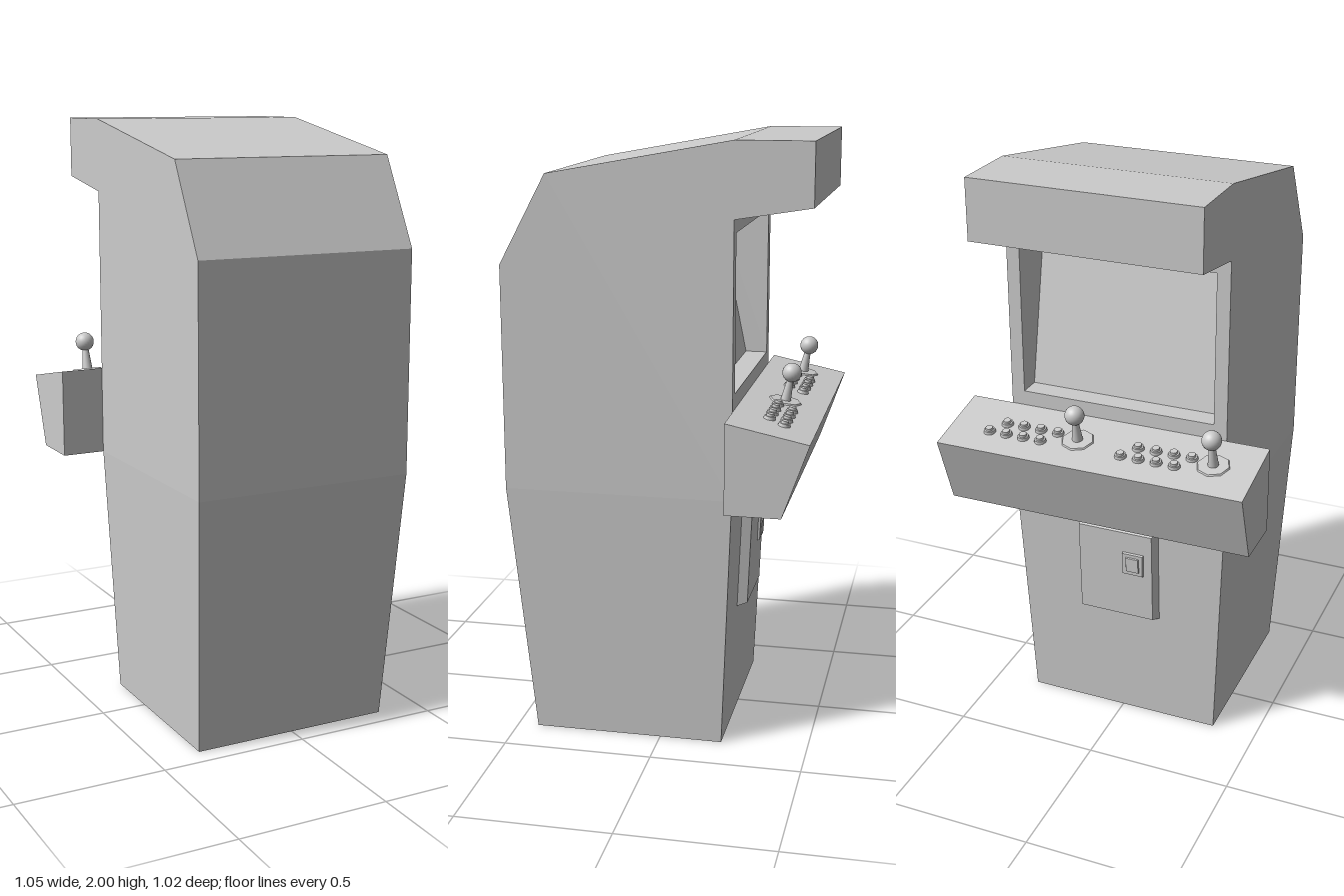
import * as THREE from 'three';

const mat = new THREE.MeshStandardMaterial({ color: 0xcccccc });
const V = (x, y, z) => new THREE.Vector3(x, y, z);

// Flat-shaded mesh from convex polygons (corners counter-clockwise from outside)
function polyMesh(name, polys) {
  const pos = [];
  for (const p of polys)
    for (let i = 1; i < p.length - 1; i++)
      for (const v of [p[0], p[i], p[i + 1]]) pos.push(v.x, v.y, v.z);
  const g = new THREE.BufferGeometry();
  g.setAttribute('position', new THREE.Float32BufferAttribute(pos, 3));
  g.computeVertexNormals();
  return add(name, g);
}

function add(name, geometry, x = 0, y = 0, z = 0) {
  const m = new THREE.Mesh(geometry, mat);
  m.name = name;
  m.position.set(x, y, z);
  return m;
}

// Quad spanning the width between two [z, y] profile points
const span = (a, b, width) => {
  const wa = width(a[1]), wb = width(b[1]);
  return [V(-wa, a[1], a[0]), V(wa, a[1], a[0]), V(wb, b[1], b[0]), V(-wb, b[1], b[0])];
};

// Matching flat caps on both sides for a convex [z, y] outline
const caps = (outline, width) => [
  outline.map(([z, y]) => V(-width(y), y, z)),
  outline.map(([z, y]) => V(width(y), y, z)).reverse(),
];

// Rectangle facing -z, and the strips joining two such rectangles
const rect = (w, y0, y1, z0, z1 = z0) =>
  [V(w, y0, z0), V(-w, y0, z0), V(-w, y1, z1), V(w, y1, z1)];
const strips = (a, b) => a.map((_, i) => {
  const j = (i + 1) % 4;
  return [a[i], a[j], b[j], b[i]];
});

// Raised plate with bevelled rim, facing -z
const plate = (name, w, h, depth, bevel) => {
  const back = rect(w, -h, h, 0), front = rect(w - bevel, bevel - h, h - bevel, -depth);
  return polyMesh(name, [...strips(back, front), front]);
};

function cabinet() {
  const g = new THREE.Group();
  g.name = 'cabinet';
  const width = y => 0.345 + 0.035 * Math.min(y / 0.86, 1);
  const p = [[0.43, 0], [0.51, 0.86], [0.51, 1.6], [0.355, 1.89], [-0.245, 2], [-0.49, 2],
    [-0.49, 1.8], [-0.245, 1.76], [-0.245, 0.86], [-0.21, 0]];
  const polys = [];
  p.forEach((a, i) => {
    if (i !== 7) polys.push(span(a, p[(i + 1) % p.length], width));
  });
  polys.push(...caps([p[0], p[1], p[8], p[9]], width));
  polys.push(...caps([p[1], p[2], p[3], p[4], p[7], p[8]], width));
  polys.push(...caps([p[4], p[5], p[6], p[7]], width));

  // Screen surround and recess
  const outer = rect(0.38, 0.86, 1.76, -0.245);
  const hole = rect(0.335, 1.205, 1.715, -0.245);
  const screen = rect(0.335, 1.205, 1.715, -0.17, -0.065);
  polys.push(...strips(outer, hole), ...strips(hole, screen));
  g.add(polyMesh('body', polys), polyMesh('screen', [screen]));
  return g;
}

function joystick(x) {
  const g = new THREE.Group();
  g.name = 'joystick';
  g.position.set(x, 0, 0.005);
  g.add(
    add('joystickPlate', new THREE.CylinderGeometry(0.052, 0.055, 0.005, 8), 0, 0.0025),
    add('joystickShaft', new THREE.CylinderGeometry(0.009, 0.018, 0.09, 16), 0, 0.045),
    add('joystickBall', new THREE.SphereGeometry(0.032, 24, 16), 0, 0.1));
  return g;
}

function button(x, z) {
  const g = new THREE.Group();
  g.name = 'button';
  g.position.set(x, 0, z);
  g.add(
    add('buttonRim', new THREE.CylinderGeometry(0.018, 0.02, 0.01, 16), 0, 0.005),
    add('buttonCap', new THREE.CylinderGeometry(0.012, 0.013, 0.008, 16), 0, 0.014));
  return g;
}

function controlPanel() {
  const g = new THREE.Group();
  g.name = 'controlPanel';
  const width = () => 0.525;
  const p = [[-0.245, 0.86], [-0.245, 1.155], [-0.51, 1.1], [-0.425, 0.86]];
  g.add(polyMesh('panelBox',
    [...p.map((a, i) => span(a, p[(i + 1) % 4], width)), ...caps(p, width)]));

  // Two identical player sets on the sloping top
  const controls = new THREE.Group();
  controls.name = 'controls';
  controls.position.set(0, 1.1275, -0.3775);
  controls.rotation.x = -Math.atan2(0.055, 0.265);
  for (const offset of [0, -0.465]) {
    controls.add(joystick(0.083 + offset));
    for (let i = 0; i < 4; i++)
      controls.add(button(0.342 - i * 0.061 + offset, 0.02), button(0.382 - i * 0.061 + offset, -0.033));
  }
  g.add(controls);
  return g;
}

function coinDoor() {
  const g = new THREE.Group();
  g.name = 'coinDoor';
  g.position.set(0, 0.592, -0.234);
  g.rotation.x = -Math.atan2(0.035, 0.86);
  const slotFrame = plate('coinSlotFrame', 0.038, 0.042, 0.008, 0.002);
  slotFrame.position.set(-0.065, 0.048, -0.033);
  const slot = plate('coinSlot', 0.024, 0.028, 0.004, 0.002);
  slot.position.set(-0.065, 0.048, -0.041);
  g.add(plate('doorPlate', 0.145, 0.178, 0.033, 0.012), slotFrame, slot);
  return g;
}

export function createModel() {
  const model = new THREE.Group();
  model.name = 'arcadeCabinet';
  model.add(cabinet(), controlPanel(), coinDoor());
  return model;
}
